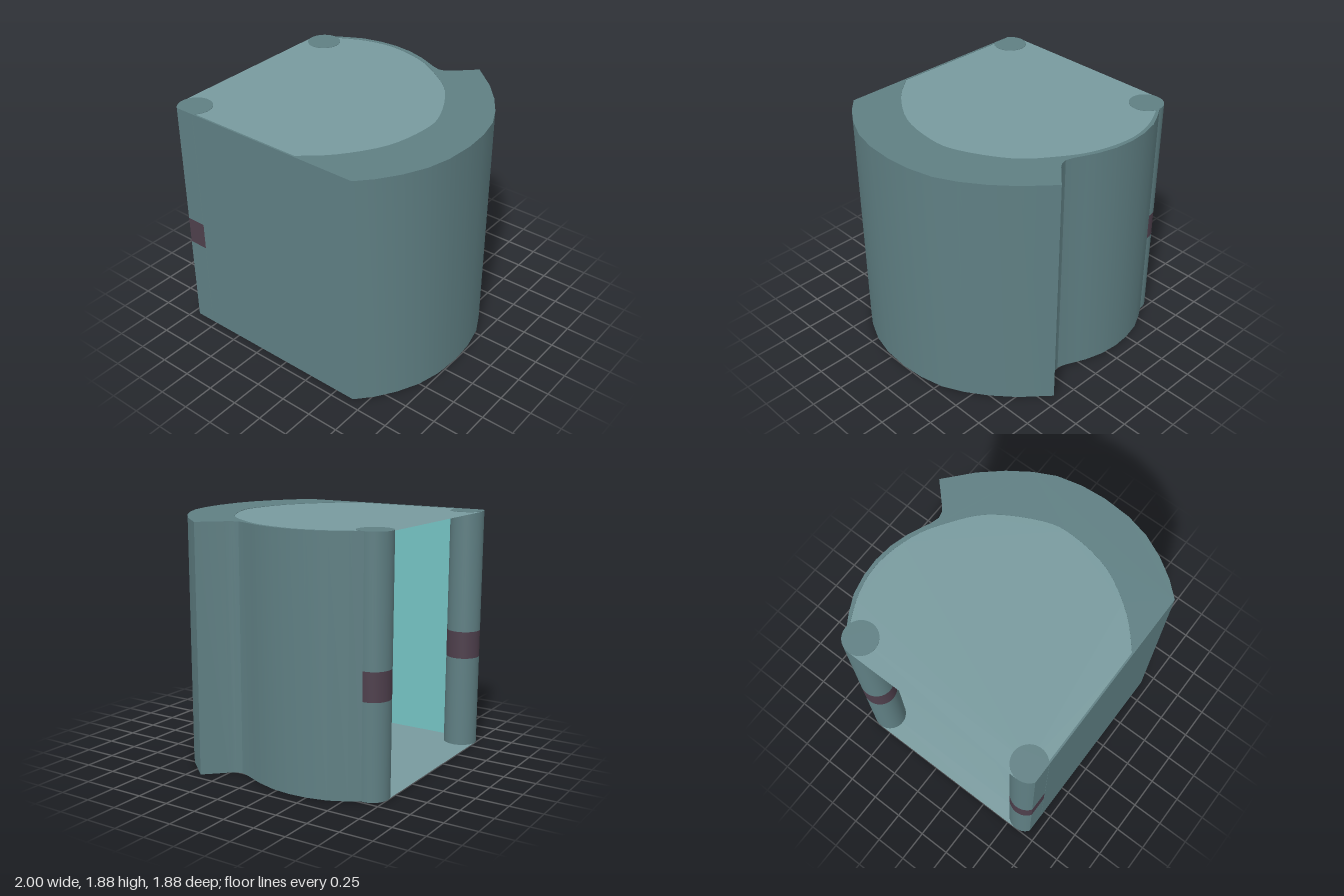
import * as THREE from 'three';
import { toCreasedNormals } from 'three/addons/utils/BufferGeometryUtils.js';

const H = 1.88, FRONT = 0.935;
const wallMat = new THREE.MeshStandardMaterial({ color: 0x5f7f83 });
const slabMat = new THREE.MeshStandardMaterial({ color: 0x789a9e, side: THREE.DoubleSide });
const liningMat = new THREE.MeshStandardMaterial({ color: 0x74c2c2, side: THREE.DoubleSide });
const bandMat = new THREE.MeshStandardMaterial({ color: 0x4e3f4c });

// Plan points are [x, z]; shapes are drawn in x, -z and then laid flat
const toShape = (pts) => new THREE.Shape(pts.map(([x, z]) => new THREE.Vector2(x, -z)));

function prism(name, pts, y0, y1, mat) {
  let geo = new THREE.ExtrudeGeometry(toShape(pts), { depth: y1 - y0, bevelEnabled: false });
  geo.rotateX(-Math.PI / 2).translate(0, y0, 0);
  geo = toCreasedNormals(geo, 0.5);
  const mesh = new THREE.Mesh(geo, mat);
  mesh.name = name;
  return mesh;
}

function slab(name, pts, y) {
  const geo = new THREE.ShapeGeometry(toShape(pts)).rotateX(-Math.PI / 2).translate(0, y, 0);
  const mesh = new THREE.Mesh(geo, slabMat);
  mesh.name = name;
  return mesh;
}

// Upright sheet following a plan path
function sheet(name, pts, y0, y1, mat) {
  const pos = [], index = [];
  pts.forEach(([x, z], i) => {
    pos.push(x, y0, z, x, y1, z);
    const a = 2 * i;
    if (i) index.push(a - 2, a, a - 1, a, a + 1, a - 1);
  });
  const geo = new THREE.BufferGeometry();
  geo.setAttribute('position', new THREE.Float32BufferAttribute(pos, 3));
  geo.setIndex(index);
  const mesh = new THREE.Mesh(toCreasedNormals(geo.toNonIndexed(), 0.5), mat);
  mesh.name = name;
  return mesh;
}

// Round column cut off flush with the front wall, with a dark band
function column(name, cx, cz) {
  const r = 0.13, n = 40, pts = [];
  for (let i = 0; i < n; i++) {
    const a = (i / n) * Math.PI * 2;
    pts.push([cx + r * Math.cos(a), Math.min(cz - r * Math.sin(a), FRONT)]);
  }
  const g = new THREE.Group();
  g.name = name;
  g.add(
    prism(name + 'Base', pts, 0, 0.72, wallMat),
    prism(name + 'Band', pts, 0.72, 0.935, bandMat),
    prism(name + 'Shaft', pts, 0.935, H, wallMat)
  );
  return g;
}

export function createModel() {
  const group = new THREE.Group();
  group.name = 'curvedShelter';

  // Outer face: flat front, large arc, pointed fin, smaller back arc
  const outer = [
    [-0.79, FRONT], [0.655, FRONT], [0.76, 0.82], [0.86, 0.67], [0.94, 0.5], [0.985, 0.32],
    [1, 0.1], [0.985, -0.09], [0.94, -0.28], [0.86, -0.44], [0.75, -0.6], [0.61, -0.76],
    [0.405, -0.94], [0.25, -0.79], [0.21, -0.76], [0.16, -0.748], [0.1, -0.765], [0, -0.81],
    [-0.07, -0.84], [-0.21, -0.88], [-0.36, -0.895], [-0.5, -0.885], [-0.65, -0.85],
    [-0.78, -0.785], [-0.86, -0.735],
  ];

  // Inner face: flat front, then one sweeping curve to the back column
  const curve = new THREE.SplineCurve([
    [0.16, 0.922], [0.37, 0.73], [0.56, 0.43], [0.625, 0.1], [0.59, -0.14], [0.4, -0.48],
    [0.16, -0.68], [-0.07, -0.805], [-0.36, -0.865], [-0.61, -0.83], [-0.83, -0.73],
  ].map(([x, z]) => new THREE.Vector2(x, z)));
  const inner = [[-0.79, 0.922], ...curve.getPoints(40).map((p) => [p.x, p.y])];

  group.add(prism('curvedWall', [...outer, ...[...inner].reverse()], 0, H, wallMat));

  // Coloured lining just inside the wall
  const lining = inner.map(([x, z]) => [-0.2 + (x + 0.2) * 0.995, 0.05 + (z - 0.05) * 0.995]);
  group.add(sheet('wallLining', lining, 0.003, H - 0.003, liningMat));

  // Thin floor and roof, open between the columns
  const slabPts = [...inner, [-0.87, -0.605], [-1, -0.605], [-1, 0.83], [-0.87, 0.83]];
  group.add(slab('floor', slabPts, 0.003), slab('roof', slabPts, H - 0.003));

  group.add(column('frontColumn', -0.87, 0.83), column('backColumn', -0.87, -0.605));
  return group;
}
